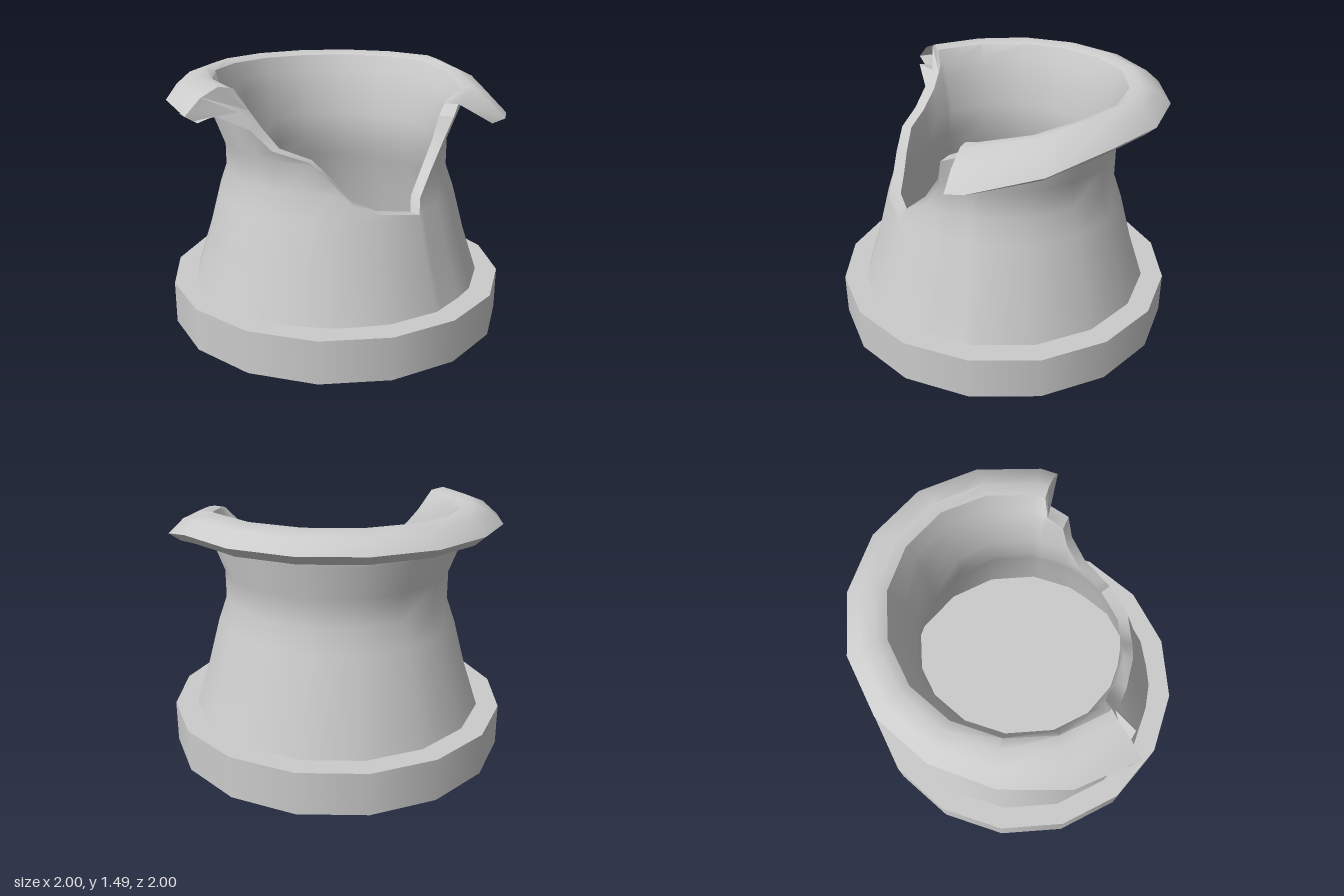
import * as THREE from 'three';
import { toCreasedNormals } from 'three/addons/utils/BufferGeometryUtils.js';

// Wall sections as [radius, height], each going upward
const OUTER = [[0.87, 0.25], [0.78, 0.52], [0.71, 0.78], [0.66, 0.92], [0.66, 1.08], [0.73, 1.27], [0.73, 1.335]];
const LIP = [[0.88, 1.33], [0.94, 1.385], [0.86, 1.455], [0.77, 1.485], [0.71, 1.46]];
const INNER = [[0.76, 0.25], [0.7, 0.52], [0.64, 0.78], [0.595, 0.92], [0.6, 1.08], [0.64, 1.27], [0.67, 1.37]];
const SECTION = [...OUTER, ...LIP, ...[...INNER].reverse()];

// Broken edge, as [degrees from the front towards +x, height]
const BREAK = [[320, 1.33], [326, 1.24], [336, 1.14], [353, 1.09], [364, 0.98], [373, 0.87], [385, 0.81],
  [405, 0.77], [408, 0.85], [420, 0.97], [430, 1.12], [434, 1.25], [443, 1.3]];
const LIP_START = 86, LIP_END = 318;

const rad = THREE.MathUtils.degToRad;
const clamp01 = (v) => THREE.MathUtils.clamp(v, 0, 1);

function radiusAt(wall, y) {
  for (let i = 1; i < wall.length; i++) {
    const [r0, y0] = wall[i - 1], [r1, y1] = wall[i];
    if (y <= y1) return r0 + (r1 - r0) * (y - y0) / (y1 - y0);
  }
  return wall[wall.length - 1][0];
}

// Keeps in-between columns on the flat sides of a 16-gon
function polygonFactor(deg) {
  const rest = ((deg % 22.5) + 22.5) % 22.5;
  return Math.cos(rad(11.25)) / Math.cos(rad(rest - 11.25));
}

function place(r, y, deg, skew = 0) {
  const a = rad(deg + skew), p = r * polygonFactor(deg + skew);
  return new THREE.Vector3(p * Math.sin(a), y, p * Math.cos(a));
}

// Whole section, with the lip bent at its two torn ends
function lipColumn(deg) {
  const droop = clamp01((135 - deg) / 49);
  const tear = clamp01((deg - 260) / 50);
  return SECTION.map(([r, y], k) => {
    const onLip = k >= OUTER.length && k < OUTER.length + LIP.length;
    const reach = onLip ? clamp01((r - 0.66) / 0.28) : 0;
    const drop = y > 1.34 || onLip ? droop * (0.06 + 0.1 * reach) + tear * 0.05 * reach : 0;
    const skew = deg === LIP_END ? -8 * reach : deg === LIP_START ? -2 * reach : 0;
    return place(r + 0.06 * reach * Math.max(droop, tear), y - drop, deg, skew);
  });
}

// Section cut off at the broken edge
function brokenColumn([deg, cut]) {
  return SECTION.map(([r, y], k) => {
    const wall = k < OUTER.length + 3 ? OUTER : INNER;
    if (y <= cut) return place(r, y, deg);
    return place(radiusAt(wall, cut), cut, deg);
  });
}

function buildWall() {
  const columns = [lipColumn(LIP_START)];
  for (let d = 90; d < LIP_END - 2; d += 22.5) columns.push(lipColumn(d));
  columns.push(lipColumn(LIP_END), ...BREAK.map(brokenColumn));
  const pos = [];
  const tri = (a, b, c) => {
    const area = b.clone().sub(a).cross(c.clone().sub(a)).length();
    if (area > 1e-7) for (const v of [a, b, c]) pos.push(v.x, v.y, v.z);
  };
  columns.forEach((col, i) => {
    const next = columns[(i + 1) % columns.length];
    for (let k = 0; k < SECTION.length - 1; k++) {
      tri(col[k], next[k], next[k + 1]);
      tri(col[k], next[k + 1], col[k + 1]);
    }
  });
  const geo = new THREE.BufferGeometry();
  geo.setAttribute('position', new THREE.Float32BufferAttribute(pos, 3));
  return toCreasedNormals(geo, rad(42));
}

export function createModel() {
  const group = new THREE.Group();
  group.name = 'brokenPot';
  const material = new THREE.MeshStandardMaterial({ color: 0xcccccc });

  // Foot, whose top is also the floor inside
  const foot = new THREE.Mesh(new THREE.CylinderGeometry(1, 1, 0.25, 16), material);
  foot.name = 'foot';
  foot.position.y = 0.125;

  // Flared wall with torn rim
  const wall = new THREE.Mesh(buildWall(), material);
  wall.name = 'brokenWall';

  group.add(foot, wall);
  return group;
}
